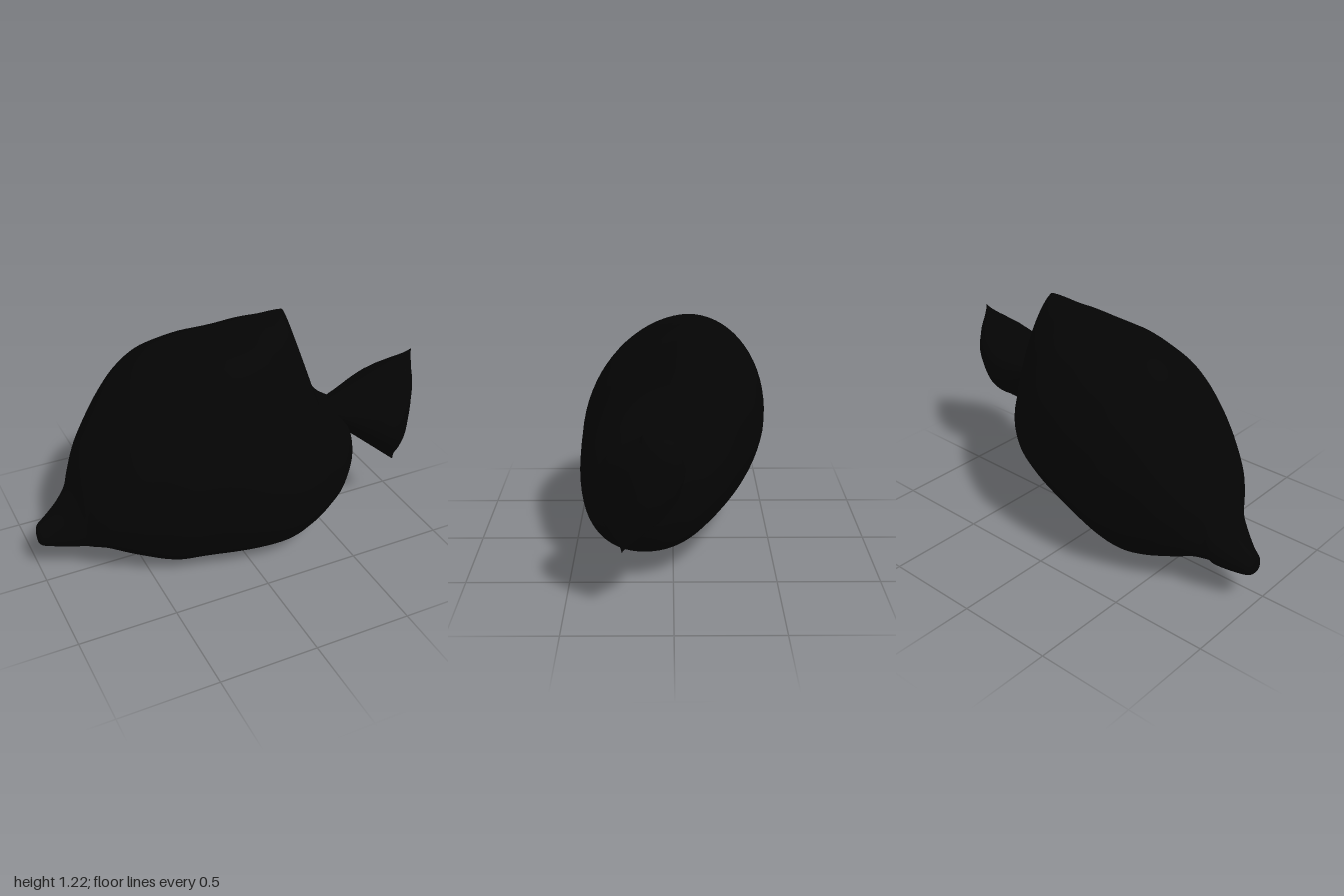
import * as THREE from 'three';

const RING = 72;
const { lerp, smoothstep } = THREE.MathUtils;

// Skin a list of closed rings (running along +x) and cap both ends.
function loft(rings) {
  const n = rings[0].length;
  const last = rings.length - 1;
  const pos = rings.flat(2);
  const index = [];
  for (let i = 0; i < last; i++) {
    for (let j = 0; j < n; j++) {
      const k = (j + 1) % n;
      const a = i * n + j, b = a + n, c = i * n + k, d = c + n;
      index.push(a, b, c, c, b, d);
    }
  }
  for (const r of [0, last]) {
    const m = pos.length / 3;
    pos.push(...[0, 1, 2].map((q) => rings[r].reduce((s, p) => s + p[q], 0) / n));
    for (let j = 0; j < n; j++) {
      const a = r * n + j, b = r * n + ((j + 1) % n);
      if (r === 0) index.push(m, a, b);
      else index.push(m, b, a);
    }
  }
  const g = new THREE.BufferGeometry();
  g.setAttribute('position', new THREE.Float32BufferAttribute(pos, 3));
  g.setIndex(index);
  g.computeVertexNormals();
  return g;
}

// Body stations without the dorsal ridge: x, top y, bottom y, right z, left z
const BODY = [
  [-1.0, 0.26, 0.19, -0.11, -0.05], [-0.985, 0.28, 0.175, -0.14, -0.03],
  [-0.94, 0.315, 0.163, -0.16, -0.005], [-0.87, 0.38, 0.155, -0.19, 0.045],
  [-0.815, 0.46, 0.153, -0.215, 0.085], [-0.79, 0.56, 0.153, -0.225, 0.11],
  [-0.75, 0.66, 0.153, -0.27, 0.17], [-0.7, 0.745, 0.148, -0.32, 0.225],
  [-0.6, 0.9, 0.1, -0.38, 0.295], [-0.5, 1.025, 0.053, -0.42, 0.345],
  [-0.4, 1.1, 0.015, -0.452, 0.39], [-0.3, 1.135, 0.0, -0.47, 0.42],
  [-0.1, 1.165, 0.012, -0.47, 0.462], [0.1, 1.141, 0.03, -0.437, 0.466],
  [0.22, 1.083, 0.045, -0.385, 0.453], [0.325, 1.0, 0.08, -0.32, 0.435],
  [0.4, 0.875, 0.115, -0.255, 0.41], [0.5, 0.76, 0.175, -0.165, 0.36],
  [0.56, 0.72, 0.235, -0.09, 0.31], [0.61, 0.64, 0.305, -0.01, 0.25],
  [0.635, 0.57, 0.39, 0.06, 0.19],
];

// Smooth the stations with a pair of matching splines
function smooth(stations) {
  const spline = (cols) => new THREE.CatmullRomCurve3(
    stations.map((s) => new THREE.Vector3(...cols.map((c) => s[c]))), false, 'catmullrom', 0.5);
  const heights = spline([0, 1, 2]), widths = spline([0, 3, 4]);
  const n = (stations.length - 1) * 5;
  return Array.from({ length: n + 1 }, (_, i) => {
    const h = heights.getPoint(i / n), w = widths.getPoint(i / n);
    return [h.x, h.y, h.z, w.y, w.z];
  });
}

// Dorsal ridge, 0 to 1: rises slowly to a tip, then drops steeply
function ridgeAt(x) {
  return x < 0.325 ? Math.max(0, (x + 0.1) / 0.425) ** 2 : Math.max(0, 1 - (x - 0.325) / 0.08);
}

function bodyGeometry() {
  return loft(smooth(BODY).map(([x, top, bottom, right, left]) => {
    const cy = (top + bottom) / 2, h = (top - bottom) / 2;
    const cz = (right + left) / 2, w = (left - right) / 2;
    const ridge = ridgeAt(x);
    const keel = smoothstep(x, -0.3, 0.2) * (1 - smoothstep(x, 0.2, 0.62));
    const leanUp = 0.1, leanDown = 0.06 + 0.17 * keel;
    return Array.from({ length: RING }, (_, j) => {
      const a = (j / RING) * Math.PI * 2;
      const c = Math.cos(a), s = Math.sin(a);
      const up = Math.max(s, 0);
      const power = s > 0 ? 1.04 + 0.4 * ridge : 0.92;
      const lean = s > 0 ? leanUp : leanDown;
      // narrow each side so that the leaning section keeps its width
      const side = Math.sqrt(w * w - ((c > 0 ? leanDown : leanUp) * h) ** 2);
      const z = Math.sign(c) * Math.pow(Math.abs(c), power) * side;
      return [x, cy + s * h + 0.222 * ridge * up * up, cz + z - lean * s * h - 0.05 * ridge * up * up];
    });
  }));
}

// Tail fan: lens sections that swell, then close along the trailing edge
function tailGeometry() {
  const widths = [[0, 0.08], [0.12, 0.1], [0.25, 0.127], [0.45, 0.17], [0.55, 0.185], [0.63, 0.192],
    [0.75, 0.186], [0.86, 0.157], [0.94, 0.106], [0.98, 0.055], [1, 0.004]];
  return loft(widths.map(([f, w]) => Array.from({ length: RING }, (_, j) => {
    const a = (j / RING) * Math.PI * 2;
    const t = Math.sin(a);
    const endX = 0.962 + 0.06 * t - 0.022 * t * t;
    const x = lerp(0.5, endX, f);
    const y = lerp(0.69 + 0.045 * t, 0.633 + 0.297 * t, f);
    const z = 0.12 + 0.06 * f - 0.05 * t * f - 0.03 * f * f * (1 - t * t);
    return [x, y, z + Math.sign(Math.cos(a)) * w * (1 - Math.pow(Math.abs(t), 1.9 + 1.6 * f))];
  })));
}

export function createModel() {
  const black = new THREE.MeshStandardMaterial({ color: 0x040404 });
  black.name = 'black';
  const group = new THREE.Group();
  group.name = 'fish';
  const add = (name, geometry) => {
    const mesh = new THREE.Mesh(geometry, black);
    mesh.name = name;
    group.add(mesh);
  };
  add('body', bodyGeometry());
  add('tailFin', tailGeometry());
  return group;
}
